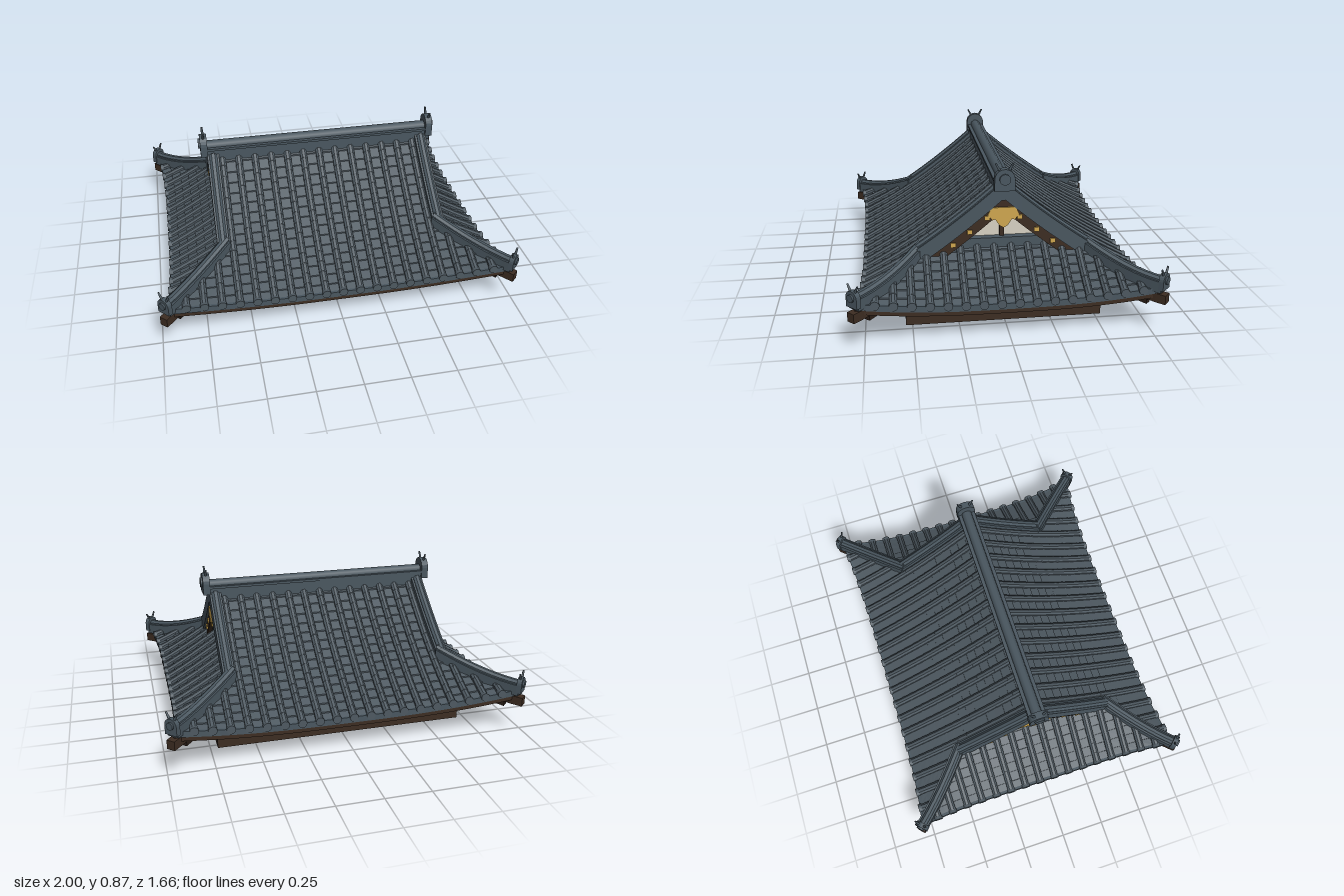
import * as THREE from 'three';

const mat = (name, color, side = THREE.FrontSide) => {
  const m = new THREE.MeshStandardMaterial({ color, side });
  m.name = name;
  return m;
};
const TILE = mat('slate tile', 0x4e5961, THREE.DoubleSide);
const RIDGE = mat('ridge tile', 0x4a5760);
const WOOD = mat('dark timber', 0x3d2d22, THREE.DoubleSide);
const DEEP = mat('shadow timber', 0x2a1e17, THREE.DoubleSide);
const PLASTER = mat('plaster', 0xd8d3c4);
const GOLD = mat('gilt', 0xd0a850);
const FLOOR = mat('brown floor', 0x9a765a);

function add(group, name, geo, material, x = 0, y = 0, z = 0) {
  const m = new THREE.Mesh(geo, material);
  m.name = name;
  m.position.set(x, y, z);
  group.add(m);
  return m;
}
const box = (g, name, w, h, d, material, x, y, z) => add(g, name, new THREE.BoxGeometry(w, h, d), material, x, y, z);

function flatGeometry(pos) {
  const g = new THREE.BufferGeometry();
  g.setAttribute('position', new THREE.Float32BufferAttribute(pos, 3));
  g.computeVertexNormals();
  return g;
}

// Sweep a convex section of [sideways, up] points along a path, keeping up vertical
function sweep(path, section, scales) {
  const up = new THREE.Vector3(0, 1, 0), pos = [], n = section.length, last = path.length - 1;
  const rings = path.map((p, i) => {
    const d = path[Math.min(i + 2, last)].clone().sub(path[Math.max(i - 2, 0)]).setY(0).normalize();
    const side = up.clone().cross(d), k = scales ? scales[i] : 1;
    return section.map(([a, b]) => p.clone().addScaledVector(side, a * k).addScaledVector(up, b * k));
  });
  const tri = (...v) => v.forEach(p => pos.push(p.x, p.y, p.z));
  for (let i = 0; i < last; i++) for (let j = 0; j < n; j++) {
    const k = (j + 1) % n, a = rings[i], b = rings[i + 1];
    tri(a[j], a[k], b[k]);
    tri(a[j], b[k], b[j]);
  }
  for (let j = 1; j < n - 1; j++) {
    tri(rings[0][0], rings[0][j + 1], rings[0][j]);
    tri(rings[last][0], rings[last][j], rings[last][j + 1]);
  }
  return flatGeometry(pos);
}
const rect = (w, lo, hi) => [[-w, lo], [w, lo], [w, hi], [-w, hi]];
const round = (r, n = 8, up = 0) => Array.from({ length: n }, (_, i) => {
  const a = (i + 0.5) / n * Math.PI * 2;
  return [Math.cos(a) * r, Math.sin(a) * r + up];
});
const steps = (a, b, n, fn) => Array.from({ length: n + 1 }, (_, i) => fn(a + (b - a) * i / n));

// Roof rule: d runs from ridge (0) to eave (0.75), x runs along the eave
const slope = d => 0.72 - 0.88 * d + 0.23 * d * d;
function roofPoint(side, x, d, lift = 0) {
  const a = Math.abs(x) / side.half, t = Math.max(0, (d - 0.35) / 0.4);
  return new THREE.Vector3(x, slope(d) + 0.065 * a ** 3 * t ** 1.5 + lift, d + side.out + 0.04 * a ** 4 * t);
}
const halfWidth = (side, d) => side.inner + (side.half - side.inner) * Math.max(0, (d - 0.45) / 0.3);

// Surface over a list of [d, lift] rows
function roofSheet(side, rows) {
  const pos = [], n = 32;
  const at = (r, i) => roofPoint(side, (i / n * 2 - 1) * halfWidth(side, r[0]), r[0], r[1]).toArray();
  for (let r = 0; r < rows.length - 1; r++) for (let i = 0; i < n; i++) {
    const a = at(rows[r], i), b = at(rows[r], i + 1), c = at(rows[r + 1], i + 1), d = at(rows[r + 1], i);
    pos.push(...a, ...d, ...c, ...a, ...c, ...b);
  }
  return flatGeometry(pos);
}

// One roof face with its eave, rafters and brackets, facing +z
function roofSide(side) {
  const g = new THREE.Group();
  g.name = side.name;
  // Overlapping pan tiles
  const count = Math.round((0.75 - side.top) / 0.05), rows = [];
  for (let i = 0; i < count; i++) {
    const at = k => side.top + (0.75 - side.top) * k / count;
    rows.push([at(i), 0], [at(i + 1), 0.008]);
  }
  add(g, 'panTiles', roofSheet(side, rows), TILE);
  // Round cover tiles and their end discs
  for (const x of side.rolls) {
    const ax = Math.abs(x);
    const start = ax < side.inner ? side.top + 0.03 : 0.45 + 0.3 * (ax - side.inner) / (side.half - side.inner);
    const n = Math.max(1, Math.round((0.75 - start) / 0.05)), path = [], scales = [];
    for (let i = 0; i < n; i++) for (const e of [0, 1]) {
      path.push(roofPoint(side, x, start + (0.75 - start) * (i + e) / n, 0.01));
      scales.push(e ? 1 : 0.92);
    }
    add(g, 'coverTile', sweep(path, round(0.022), scales), TILE);
    const end = path[path.length - 1];
    add(g, 'endDisc', new THREE.CylinderGeometry(0.024, 0.024, 0.02, 12).rotateX(Math.PI / 2), TILE, end.x, end.y, end.z);
  }
  // Eave edge, fascia and soffit
  const eave = (d, w, lo, hi) => sweep(steps(-side.half, side.half, 32, x => roofPoint(side, x, d)), rect(w, lo, hi));
  add(g, 'eaveTileEdge', eave(0.742, 0.012, -0.025, 0.008), RIDGE);
  add(g, 'fascia', eave(0.735, 0.014, -0.052, -0.024), WOOD);
  add(g, 'soffit', roofSheet(side, [[0.46, -0.032], [0.6, -0.032], [0.74, -0.032]]), DEEP);
  // Rafters
  const m = Math.floor((side.half - 0.06) / 0.075);
  for (let k = -m; k <= m; k++) {
    const x = k * 0.075, start = Math.max(0.5, 0.45 + 0.3 * (Math.abs(x) - side.inner) / (side.half - side.inner));
    if (start < 0.7) add(g, 'rafter', sweep(steps(start, 0.73, 3, d => roofPoint(side, x, d)), rect(0.012, -0.052, -0.031)), WOOD);
  }
  // Wall head beam, outer purlin and brackets
  const w = 0.53 + side.out;
  box(g, 'headBeam', side.wall * 2 + 0.03, 0.03, 0.03, WOOD, 0, 0.195, w);
  box(g, 'purlin', side.wall * 2 + 0.22, 0.028, 0.03, WOOD, 0, 0.184, w + 0.095);
  for (const x of side.brackets) {
    box(g, 'bracketFoot', 0.062, 0.03, 0.03, DEEP, x, 0.078, w + 0.005);
    box(g, 'bracketNeck', 0.036, 0.09, 0.026, DEEP, x, 0.135, w + 0.005);
    const arm = plate([[0, 0.105], [0.06, 0.1], [0.12, 0.125], [0.12, 0.14], [0, 0.14]], 0.04);
    add(g, 'bracketArm', arm.rotateY(-Math.PI / 2), WOOD, x + 0.02, 0, w);
    box(g, 'bracketCap', 0.07, 0.032, 0.04, DEEP, x, 0.155, w + 0.092);
  }
  return g;
}

function plate(points, depth) {
  return new THREE.ExtrudeGeometry(new THREE.Shape(points.map(p => new THREE.Vector2(...p))), { depth, bevelEnabled: false });
}

// Rounded ridge-end ornament with two horns, facing +z, standing on y = 0
function ornament(name, w, h, depth) {
  const g = new THREE.Group();
  g.name = name;
  const arch = steps(0, Math.PI, 10, a => [Math.cos(a) * w, h - w + Math.sin(a) * w]);
  add(g, 'ornamentBody', plate([[-w, 0], [w, 0], ...arch], depth), RIDGE);
  add(g, 'ornamentDisc', new THREE.CylinderGeometry(w * 0.55, w * 0.55, 0.02, 12).rotateX(Math.PI / 2), RIDGE, 0, h - w, depth);
  for (const s of [-1, 1]) {
    const horn = add(g, 'horn', new THREE.CylinderGeometry(0.005, 0.008, 0.045, 6), RIDGE, s * w * 0.65, h + 0.008, depth / 2);
    horn.rotation.z = -s * 0.5;
  }
  return g;
}

// Gable end, facing +z
function gable() {
  const g = new THREE.Group();
  g.name = 'gable';
  const path = (half, z) => steps(-half, half, 20, x => new THREE.Vector3(x, slope(Math.abs(x)), z));
  add(g, 'vergeRidge', sweep(path(0.47, 0.621), rect(0.033, -0.045, 0.05)), RIDGE);
  for (const s of [-1, 1]) {
    const run = steps(0.05, 0.475, 8, d => new THREE.Vector3(s * d, slope(d) + 0.048, 0.621));
    add(g, 'vergeRoll', sweep(run, round(0.024)), RIDGE);
    for (const d of [0.088, 0.18, 0.27]) box(g, 'giltStud', 0.028, 0.024, 0.009, GOLD, s * d, slope(d) - 0.077, 0.644);
  }
  add(g, 'bargeboard', sweep(path(0.44, 0.626), rect(0.014, -0.115, -0.044)), WOOD);
  add(g, 'gableWall', plate([[-0.36, 0.39], [0.36, 0.39], [0, 0.67]], 0.02), PLASTER, 0, 0, 0.545);
  box(g, 'gablePost', 0.024, 0.2, 0.02, WOOD, 0, 0.54, 0.572);
  box(g, 'gableFlashing', 0.72, 0.09, 0.05, RIDGE, 0, 0.395, 0.582);
  const half = [[0.065, 0.625], [0.085, 0.585], [0.06, 0.555], [0.045, 0.56], [0.022, 0.525]];
  const pendant = [[0, 0.512], ...half.slice().reverse(), ...half.map(([x, y]) => [-x, y])];
  add(g, 'giltPendant', plate(pendant, 0.009), GOLD, 0, 0, 0.641);
  const end = ornament('ridgeEnd', 0.054, 0.118, 0.04);
  end.position.set(0, 0.727, 0.65);
  g.add(end);
  return g;
}

// Hip ridge, hip beam and corner ornament for the +x +z corner
function corner(front) {
  const g = new THREE.Group();
  g.name = 'hipCorner';
  const hip = s => roofPoint(front, front.inner + (front.half - front.inner) * s, 0.45 + 0.3 * s);
  const path = steps(-0.02, 1, 10, hip);
  add(g, 'hipRidge', sweep(path, rect(0.033, -0.02, 0.042)), RIDGE);
  add(g, 'hipRoll', sweep(path, round(0.024, 8, 0.042)), RIDGE);
  add(g, 'hipBeam', sweep(steps(0.2, 1.05, 8, hip), rect(0.024, -0.08, -0.03)), WOOD);
  add(g, 'lowerHipBeam', sweep(steps(0.2, 0.85, 6, hip), rect(0.02, -0.11, -0.078)), DEEP);
  const p = hip(1), end = ornament('cornerEnd', 0.038, 0.09, 0.028);
  end.position.set(p.x - 0.008, p.y - 0.004, p.z - 0.008);
  end.rotation.y = Math.PI / 4;
  g.add(end);
  return g;
}

export function createModel() {
  const model = new THREE.Group();
  model.name = 'hipAndGableRoof';
  const front = { name: 'mainRoofSide', half: 0.96, inner: 0.61, out: 0, top: 0, wall: 0.7,
    rolls: steps(-9, 9, 18, k => k * 0.095), brackets: [-0.35, 0, 0.35] };
  const end = { name: 'endRoofSide', half: 0.79, inner: 0.45, out: 0.17, top: 0.4, wall: 0.53,
    rolls: steps(-7.5, 7.5, 15, k => k * 0.092), brackets: [-0.175, 0.175] };
  for (const turn of [0, Math.PI]) {
    const a = roofSide(front), b = roofSide(end), c = gable();
    a.rotation.y = turn;
    b.rotation.y = c.rotation.y = turn + Math.PI / 2;
    model.add(a, b, c);
  }
  for (const sx of [-1, 1]) for (const sz of [-1, 1]) {
    const c = corner(front);
    c.scale.set(sx, 1, sz);
    model.add(c);
  }
  // Main ridge
  box(model, 'ridgeBase', 1.3, 0.1, 0.084, RIDGE, 0, 0.715, 0);
  box(model, 'ridgeCourse', 1.31, 0.014, 0.1, RIDGE, 0, 0.766, 0);
  add(model, 'ridgeRoll', new THREE.CylinderGeometry(0.03, 0.03, 1.32, 10).rotateZ(Math.PI / 2), RIDGE, 0, 0.774, 0);
  // Walls, sill facing and underside
  for (const s of [-1, 1]) {
    box(model, 'longWall', 1.4, 0.24, 0.02, PLASTER, 0, 0.165, s * 0.52);
    box(model, 'endWall', 0.02, 0.24, 1.02, PLASTER, s * 0.69, 0.165, 0);
    box(model, 'longSill', 1.42, 0.055, 0.01, WOOD, 0, 0.0275, s * 0.53);
    box(model, 'endSill', 0.01, 0.055, 1.05, WOOD, s * 0.705, 0.0275, 0);
    box(model, 'longFooting', 1.4, 0.045, 0.115, PLASTER, 0, 0.0225, s * 0.4675);
    box(model, 'endFooting', 0.122, 0.045, 0.82, PLASTER, s * 0.639, 0.0225, 0);
  }
  box(model, 'floorPanel', 1.16, 0.02, 0.82, FLOOR, 0, 0.034, 0);
  return model;
}
